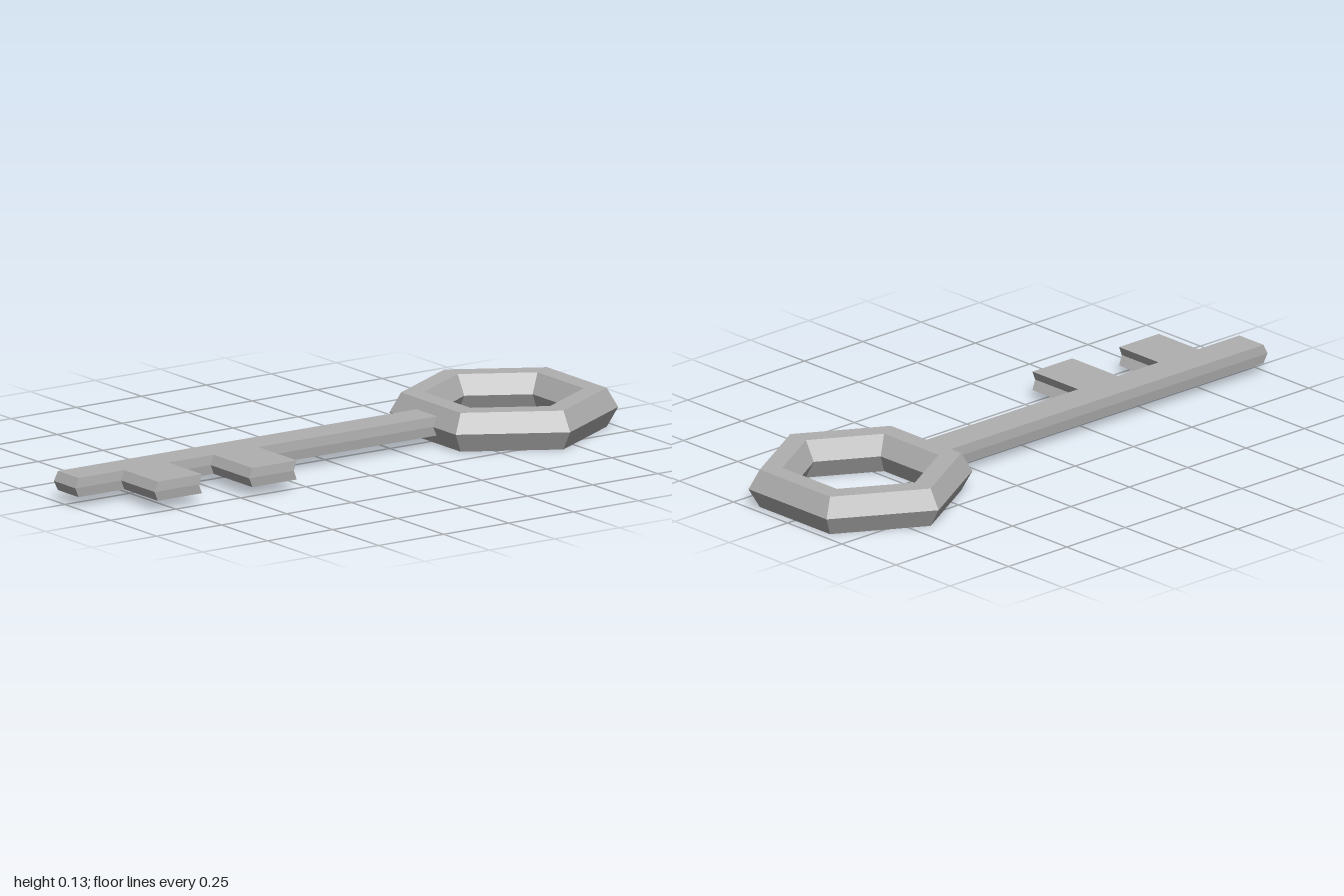
import * as THREE from 'three';

const MID = 0.063; // height of the key's middle plane

export function createModel() {
  const key = new THREE.Group();
  key.name = 'key';
  const metal = new THREE.MeshStandardMaterial({ color: 0xb0b0b0 });
  metal.name = 'grey metal';

  // Six-sided bow with a six-sided cross-section
  const ring = new THREE.TorusGeometry(0.288, 0.0726, 6, 6).rotateX(Math.PI / 2).toNonIndexed();
  ring.computeVertexNormals();
  const bow = new THREE.Mesh(ring, metal);
  bow.name = 'bow';
  bow.position.set(0, MID, -0.688);
  key.add(bow);

  // Shaft and two teeth as one outline in x and z
  const outline = [
    [-0.057, -0.45], [0.055, -0.45],
    [0.055, 0.295], [0.265, 0.295], [0.265, 0.466], [0.055, 0.466],
    [0.055, 0.64], [0.237, 0.64], [0.237, 0.81], [0.055, 0.81],
    [0.055, 0.986], [-0.057, 0.986],
  ].map(([x, z]) => new THREE.Vector2(x, z));
  const blade = new THREE.ExtrudeGeometry(new THREE.Shape(outline), {
    depth: 0.062, steps: 2, bevelEnabled: false,
  });
  blade.translate(0, 0, -0.031).rotateX(Math.PI / 2);

  // Push the middle layer towards the tip so the edges form chevrons
  const p = blade.attributes.position;
  for (let i = 0; i < p.count; i++) {
    if (Math.abs(p.getY(i)) < 0.001) {
      p.setX(i, p.getX(i) + 0.003 * Math.sign(p.getX(i)));
      p.setZ(i, p.getZ(i) + 0.014);
    }
  }
  blade.computeVertexNormals();
  const shaft = new THREE.Mesh(blade, metal);
  shaft.name = 'shaftAndTeeth';
  shaft.position.y = MID + 0.001;
  key.add(shaft);

  return key;
}
